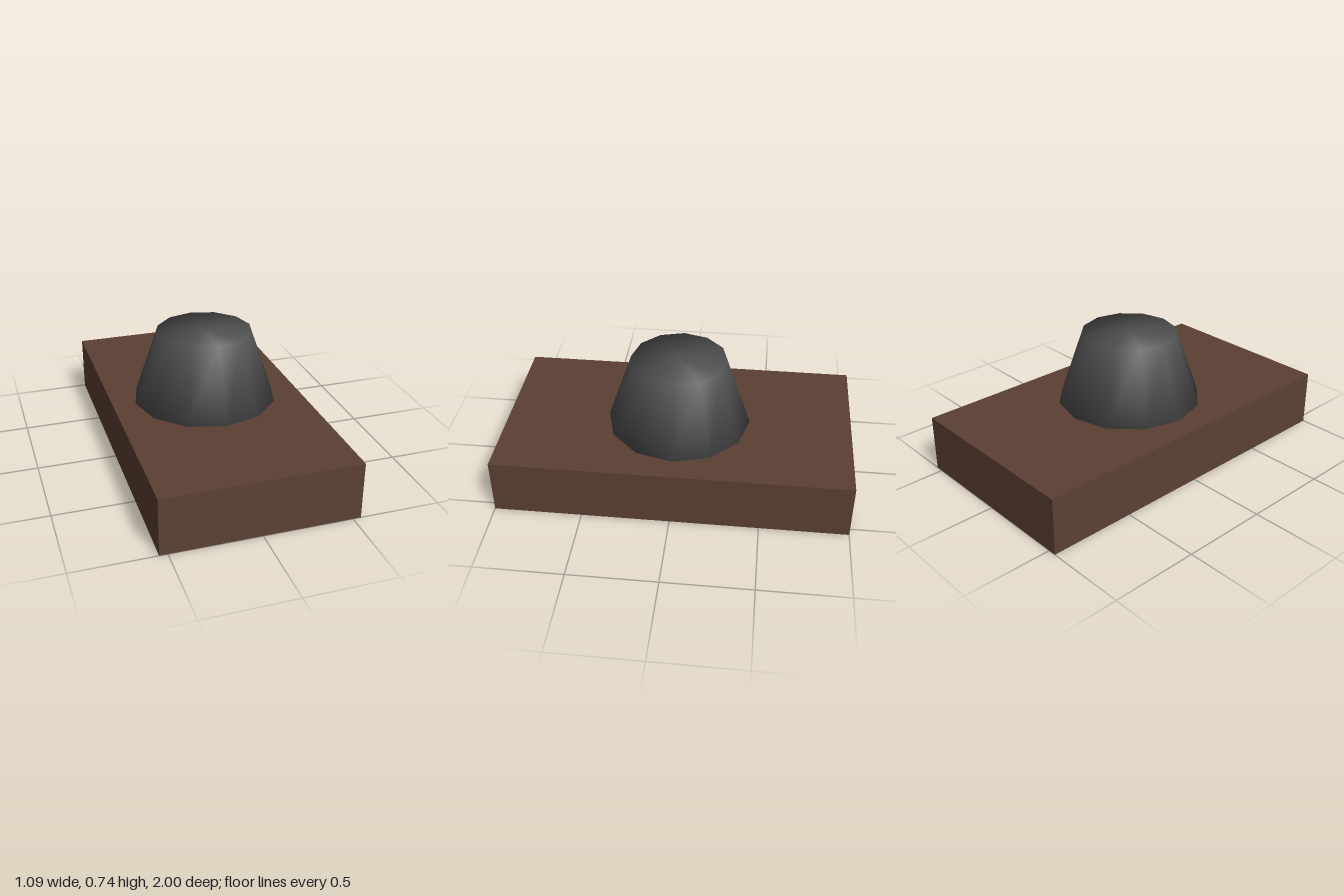
import * as THREE from 'three';
import { mergeVertices } from 'three/addons/utils/BufferGeometryUtils.js';

// Weld a geometry so its shading runs smoothly over every edge
function smoothed(geometry) {
  geometry.deleteAttribute('normal');
  geometry.deleteAttribute('uv');
  const welded = mergeVertices(geometry, 1e-4);
  welded.computeVertexNormals();
  return welded;
}

export function createModel() {
  const brown = new THREE.MeshStandardMaterial({ color: 0x5c4033 });
  brown.name = 'dark brown';
  const grey = new THREE.MeshStandardMaterial({ color: 0x505050 });
  grey.name = 'dark grey';

  const model = new THREE.Group();
  model.name = 'model';

  // Long rectangular base block
  const baseHeight = 0.327;
  const base = new THREE.Mesh(new THREE.BoxGeometry(1.09, baseHeight, 2), brown);
  base.name = 'base';
  base.position.y = baseHeight / 2;

  // Twelve-sided tapered knob with a flat top, smooth shaded
  const knobHeight = 0.41;
  const knob = new THREE.Mesh(
    smoothed(new THREE.CylinderGeometry(0.273, 0.414, knobHeight, 12)), grey);
  knob.name = 'taperedKnob';
  knob.position.y = baseHeight + knobHeight / 2;

  model.add(base, knob);
  return model;
}
